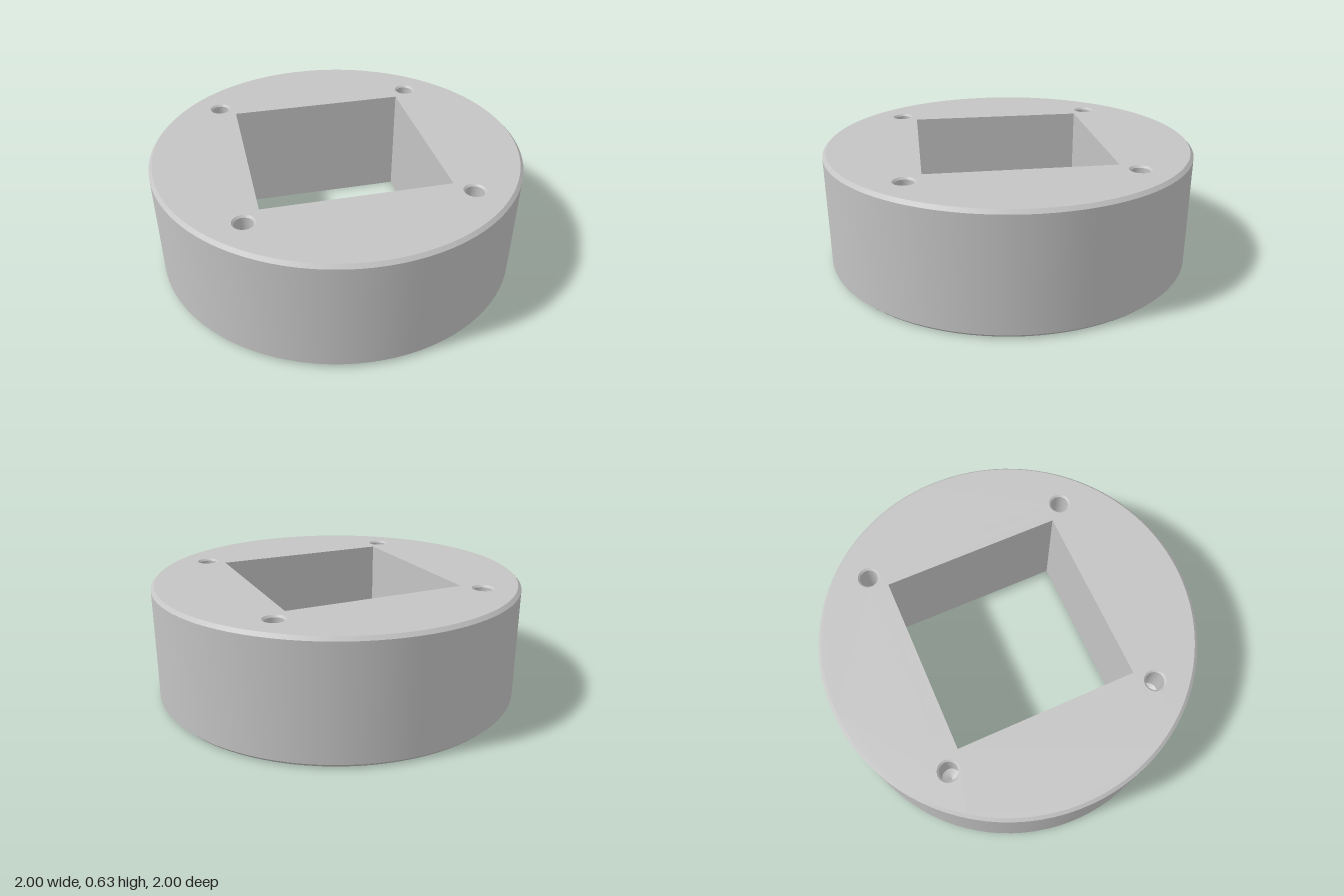
import * as THREE from 'three';
import { mergeGeometries } from 'three/addons/utils/BufferGeometryUtils.js';

const H = 0.63;          // total height
const BORE = 0.49;       // half width of the square opening
const CORE = 0.79;       // radius of the inner core
const BEVEL = 0.018;
const HOLE_POS = 0.573;  // screw hole offset in x and z
const HOLE_R = 0.058;
const SEGMENTS = 96;

// Revolve each step of a profile separately, so edges stay sharp and walls smooth
function revolve(profile, segments) {
  const bands = [];
  for (let i = 0; i < profile.length - 1; i++) {
    const pair = [profile[i], profile[i + 1]].map(([r, y]) => new THREE.Vector2(r, y));
    bands.push(new THREE.LatheGeometry(pair, segments));
  }
  return mergeGeometries(bands);
}

// Flat disc with a square opening
function discShape(radius) {
  const shape = new THREE.Shape().absarc(0, 0, radius, 0, Math.PI * 2, false);
  const square = [[-BORE, -BORE], [-BORE, BORE], [BORE, BORE], [BORE, -BORE]];
  shape.holes.push(new THREE.Path(square.map(([x, y]) => new THREE.Vector2(x, y))));
  return shape;
}

export function createModel() {
  const grey = new THREE.MeshStandardMaterial({ color: 0xc4c4c4 });
  grey.name = 'grey';
  const model = new THREE.Group();
  model.name = 'roundHousing';
  const add = (name, geometry) => {
    const mesh = new THREE.Mesh(geometry, grey);
    mesh.name = name;
    model.add(mesh);
    return mesh;
  };

  // Core wall, underside groove, bottom rim, bevels and outer wall
  add('outerBody', revolve([
    [CORE, 0], [CORE, 0.31], [0.916, 0.31], [0.916, 0],
    [1 - BEVEL, 0], [1, BEVEL], [1, H - BEVEL], [1 - BEVEL, H],
  ], SEGMENTS));

  // Top face with the square opening and four screw holes
  const top = discShape(1 - BEVEL);
  const corners = [[1, 1], [1, -1], [-1, -1], [-1, 1]];
  for (const [sx, sz] of corners) {
    top.holes.push(new THREE.Path().absarc(sx * HOLE_POS, sz * HOLE_POS, HOLE_R, 0, Math.PI * 2, true));
  }
  add('topFace', new THREE.ShapeGeometry(top, SEGMENTS).rotateX(-Math.PI / 2).translate(0, H, 0));

  // Underside of the core
  add('coreUnderside', new THREE.ShapeGeometry(discShape(CORE), SEGMENTS).rotateX(Math.PI / 2));

  // Four inward-facing walls of the square opening
  const walls = [];
  for (let i = 0; i < 4; i++) {
    walls.push(new THREE.PlaneGeometry(BORE * 2, H).translate(0, H / 2, -BORE).rotateY(i * Math.PI / 2));
  }
  add('squareBore', mergeGeometries(walls));

  // Blind screw holes with a bevelled mouth and conical tip
  const hole = revolve([
    [HOLE_R, H], [0.048, H - 0.01], [0.048, 0.43], [0, 0.4],
  ], SEGMENTS);
  corners.forEach(([sx, sz], i) => {
    add('screwHole' + (i + 1), hole).position.set(sx * HOLE_POS, 0, sz * HOLE_POS);
  });

  return model;
}
